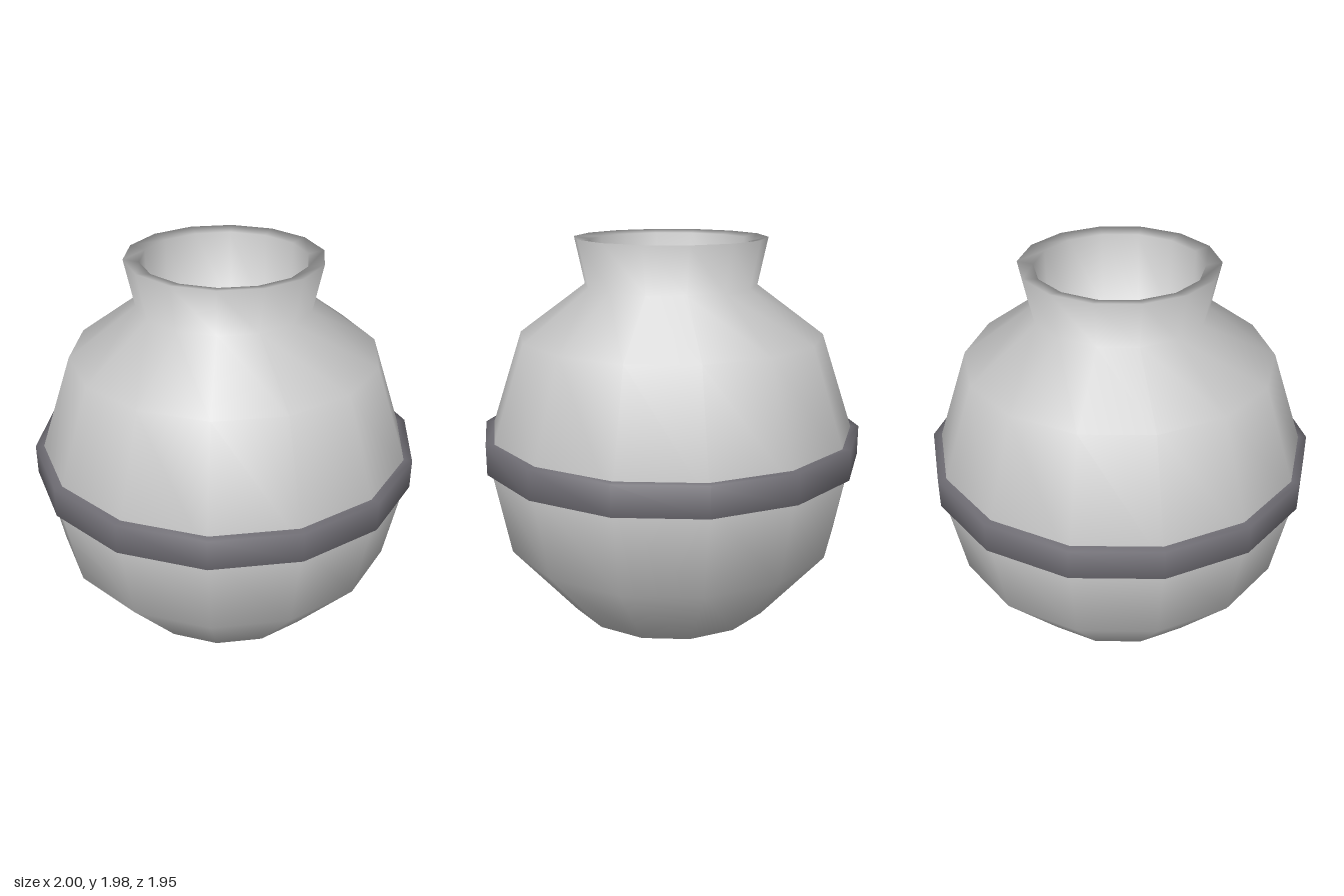
import * as THREE from 'three';

const SIDES = 14;

// Turns a [radius, height] profile, with a corner on the x axis.
function turned(name, profile, color) {
  const points = profile.map(([r, y]) => new THREE.Vector2(r, y));
  const geometry = new THREE.LatheGeometry(points, SIDES, Math.PI / 2);
  const mesh = new THREE.Mesh(geometry, new THREE.MeshStandardMaterial({ color }));
  mesh.name = name;
  return mesh;
}

export function createModel() {
  const group = new THREE.Group();
  group.name = 'pot';

  // Pot: base, belly, shoulder, flared neck, lip and the hollow mouth
  group.add(turned('potBody', [
    [0, 0], [0.55, 0],
    [0.89, 0.4], [0.987, 0.9], [0.79, 1.485],
    [0.445, 1.74], [0.495, 1.98],
    [0.417, 1.965], [0.41, 1.58], [0, 1.56],
  ], 0xcccccc));

  // Dark band around the belly
  group.add(turned('bellyBand', [
    [0.95, 0.835], [1, 0.835], [1, 0.99], [0.94, 0.99],
  ], 0x737178));

  return group;
}
